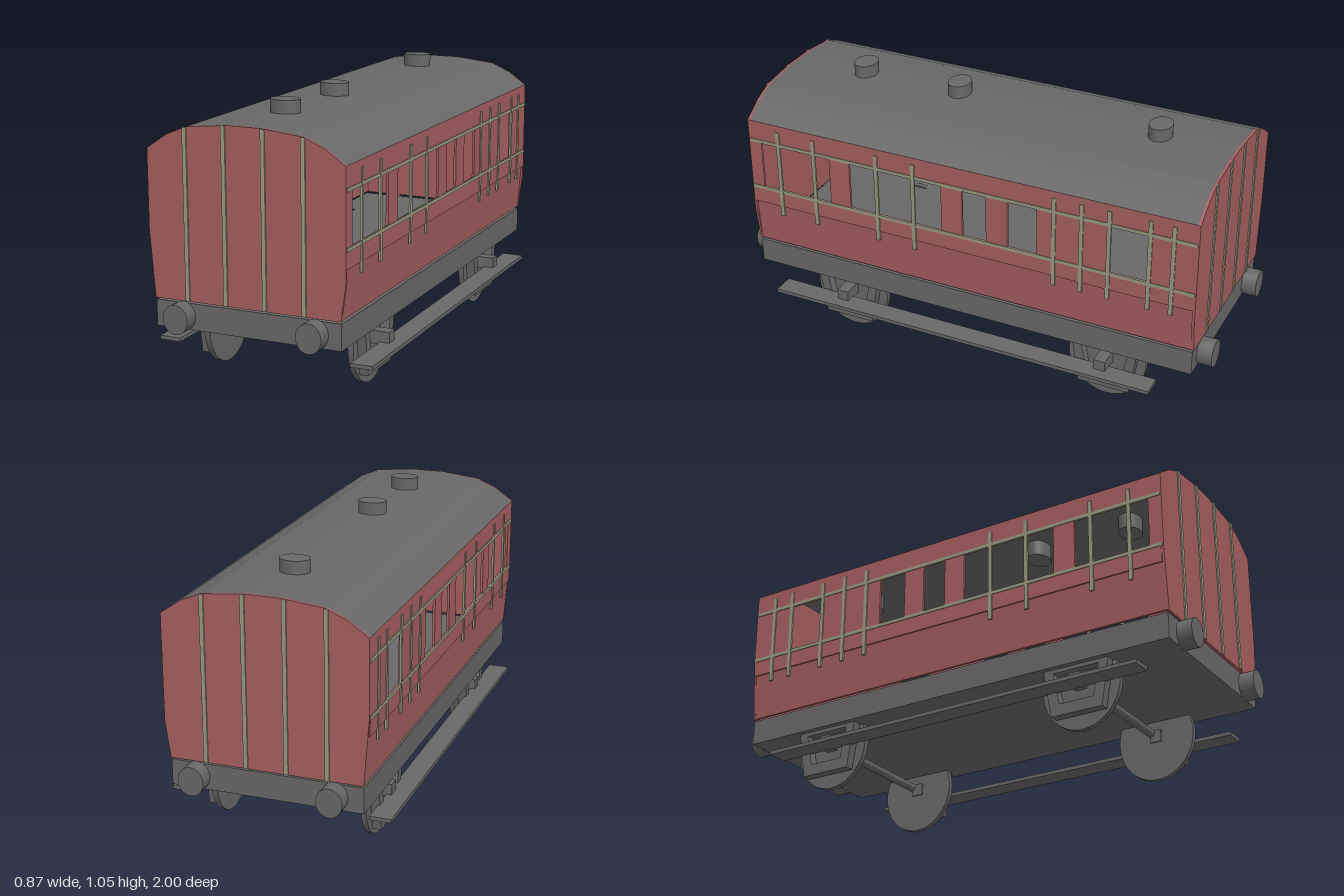
import * as THREE from 'three';

const red = new THREE.MeshStandardMaterial({ color: 0xa65e5e });
red.name = 'coach red';
const grey = new THREE.MeshStandardMaterial({ color: 0x686868 });
grey.name = 'dark grey';
const trim = new THREE.MeshStandardMaterial({ color: 0x98997f });
trim.name = 'pale trim';

const CX = -0.01; // centre line of the body
const WALL_Z = 0.935;

function shapeOf(points) {
  return new THREE.Shape(points.map(([x, y]) => new THREE.Vector2(x, y)));
}

function extrude(shape, depth) {
  return new THREE.ExtrudeGeometry(shape, { depth, bevelEnabled: false });
}

export function createModel() {
  const model = new THREE.Group();
  model.name = 'railwayCoach';

  const add = (name, geometry, material) => {
    const mesh = new THREE.Mesh(geometry, material);
    mesh.name = name;
    model.add(mesh);
    return mesh;
  };
  // Box given by its limits on each axis
  const box = (name, material, x0, x1, y0, y1, z0, z1) => {
    const mesh = add(name, new THREE.BoxGeometry(x1 - x0, y1 - y0, z1 - z0), material);
    mesh.position.set((x0 + x1) / 2, (y0 + y1) / 2, (z0 + z1) / 2);
    return mesh;
  };

  // Arched roof shell
  const arch = [[-0.40, 0.90], [-0.32, 0.955], [-0.24, 0.988], [-0.08, 1.005],
    [0.06, 1.005], [0.22, 0.988], [0.30, 0.955], [0.38, 0.90]];
  const underside = arch.map(([x, y]) => [CX + (x - CX) * 0.975, y - 0.012]).reverse();
  const roof = add('roof', extrude(shapeOf([...arch, ...underside]), WALL_Z * 2), grey);
  roof.position.z = -WALL_Z;

  // Roof vents, reaching a little into the interior
  for (const z of [0.62, 0.20, -0.64]) {
    const vent = add('roofVent', new THREE.CylinderGeometry(1, 1, 0.125, 32), grey);
    vent.scale.set(0.058, 1, 0.045);
    vent.position.set(CX, 0.9925, z);
  }

  // End walls with upright strips
  const endOutline = [[-0.38, 0.348], [0.36, 0.348], [0.38, 0.49],
    ...arch.slice().reverse(), [-0.40, 0.60]];
  for (const s of [1, -1]) {
    const end = add('endWall', extrude(shapeOf(endOutline), 0.01), red);
    end.position.z = s > 0 ? WALL_Z : -WALL_Z - 0.01;
    for (const [x, top] of [[-0.245, 0.986], [-0.09, 1.003], [0.065, 1.003], [0.22, 0.987]]) {
      box('endStrip', trim, x - 0.008, x + 0.008, 0.35, top, s * 0.947 - 0.003, s * 0.947 + 0.003);
    }
  }

  // Upper side walls with window openings, lower panels and trim
  const windows = [[0.58, 0.89], [0.09, 0.49], [-0.10, 0], [-0.31, -0.19], [-0.76, -0.60]];
  const wall = shapeOf([[-WALL_Z, 0.535], [WALL_Z, 0.535], [WALL_Z, 0.90], [-WALL_Z, 0.90]]);
  for (const [a, b] of windows) {
    wall.holes.push(new THREE.Path(
      [[a, 0.61], [a, 0.81], [b, 0.81], [b, 0.61]].map(([u, v]) => new THREE.Vector2(u, v))));
  }
  const wallGeometry = extrude(wall, 0.01).rotateY(-Math.PI / 2);
  const uprights = [0.81, 0.65, 0.37, 0.21, -0.38, -0.49, -0.60, -0.76, -0.85];

  for (const s of [1, -1]) {
    add('sideWall', wallGeometry, red).position.x = s > 0 ? 0.38 : -0.39;

    const lower = [[0.384, 0.537], [0.37, 0.35], [0.36, 0.35], [0.374, 0.537]]
      .map(([x, y]) => [CX + s * x, y]);
    add('lowerSidePanel', extrude(shapeOf(lower), WALL_Z * 2), red).position.z = -WALL_Z;

    const x = CX + s * 0.39;
    for (const y of [0.605, 0.815]) {
      box('sideRail', trim, x - 0.003, x + 0.003, y - 0.007, y + 0.007, -0.94, 0.94);
    }
    for (const z of uprights) {
      box('sideStrip', trim, x - 0.004, x + 0.004, 0.495, 0.872, z - 0.008, z + 0.008);
    }
  }

  // Chassis and buffers
  box('chassis', grey, -0.38, 0.36, 0.24, 0.34, -0.94, 0.94);
  for (const x of [-0.27, 0.26]) {
    for (const s of [1, -1]) {
      const buffer = add('buffer', new THREE.CylinderGeometry(1, 1, 0.06, 32).rotateX(Math.PI / 2), grey);
      buffer.scale.set(0.05, 0.056, 1);
      buffer.position.set(x, 0.29, s * 0.97);
    }
  }

  // Running gear: wheels, axles, hanger frames and axle boxes
  const frame = shapeOf([[-0.105, 0.055], [0.105, 0.055], [0.135, 0.245], [-0.135, 0.245]]);
  frame.holes.push(new THREE.Path([[-0.07, 0.10], [-0.095, 0.225], [0.095, 0.225], [0.07, 0.10]]
    .map(([u, v]) => new THREE.Vector2(u, v))));
  const frameGeometry = extrude(frame, 0.036).rotateY(-Math.PI / 2);
  for (const z of [0.55, -0.58]) {
    const axle = add('axle', new THREE.CylinderGeometry(0.017, 0.017, 0.485, 20).rotateZ(Math.PI / 2), grey);
    axle.position.set(-0.008, 0.177, z);

    for (const s of [1, -1]) {
      const wheel = add('wheel', new THREE.CylinderGeometry(1, 1, 0.022, 40).rotateZ(Math.PI / 2), grey);
      wheel.scale.set(1, 0.173, 0.16);
      wheel.position.set(s > 0 ? 0.289 : -0.306, 0.173, z);

      add('wheelFrame', frameGeometry, grey).position.set(s > 0 ? 0.336 : -0.322, 0, z);
    }
    box('axleBox', grey, 0.272, 0.384, 0.155, 0.205, z - 0.024, z + 0.024);
    box('axleBox', grey, -0.37, -0.285, 0.155, 0.205, z - 0.024, z + 0.024);
  }

  // Footboards along both sides
  box('footboard', grey, 0.345, 0.432, 0.148, 0.163, -0.80, 0.835);
  box('footboard', grey, -0.434, -0.35, 0.148, 0.163, -0.80, 0.835);

  return model;
}
